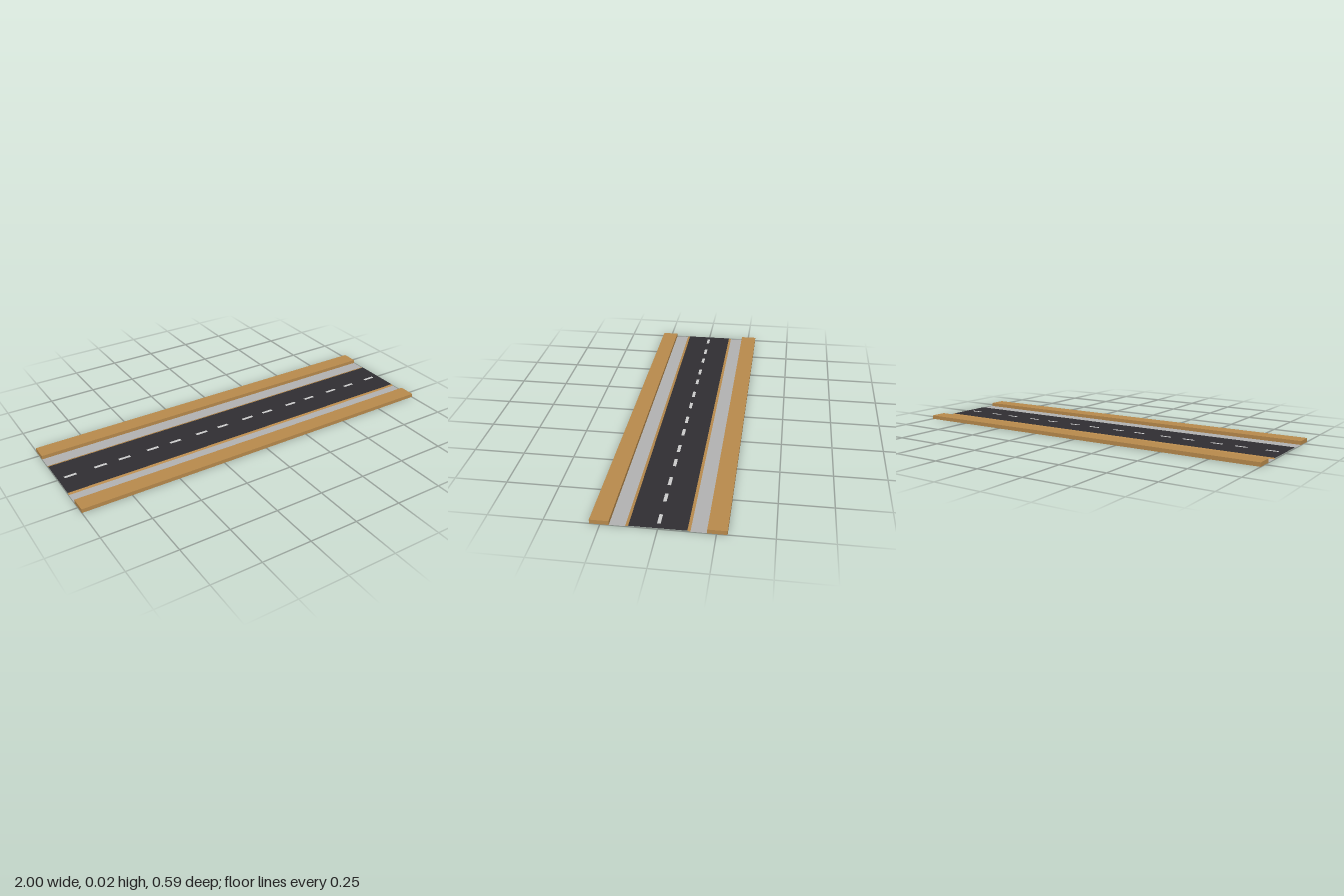
import * as THREE from 'three';

const material = (color) => new THREE.MeshStandardMaterial({ color, flatShading: true, side: THREE.DoubleSide });
const EARTH = material(0xb88a4c);
const CONCRETE = material(0xb2b2b2);
const ASPHALT = material(0x302e32);
const PAINT = material(0xbdbdbd);

const LENGTH = 2, ROAD_Y = 0.005, GUTTER_Y = 0.001;
const ROAD_EDGE = 0.127, GUTTER_IN = 0.14, GUTTER_OUT = 0.211, OUTER = 0.297;

// Flat rectangle on the road level, optionally with rectangular holes [x0, x1, halfDepth]
function slab(x0, x1, half, holes = []) {
  const rect = (T, a, b, h) => new T([
    new THREE.Vector2(a, -h), new THREE.Vector2(b, -h),
    new THREE.Vector2(b, h), new THREE.Vector2(a, h),
  ]);
  const shape = rect(THREE.Shape, x0, x1, half);
  shape.holes = holes.map(([a, b, h]) => rect(THREE.Path, a, b, h));
  return new THREE.ShapeGeometry(shape).rotateX(-Math.PI / 2).translate(0, ROAD_Y, 0);
}

// Full-length strip between two (z, y) lines
function strip(zA, yA, zB, yB) {
  const g = new THREE.PlaneGeometry(LENGTH, 1).rotateX(-Math.PI / 2);
  const p = g.attributes.position;
  for (let i = 0; i < p.count; i++) {
    const inner = p.getZ(i) < 0;
    p.setY(i, inner ? yA : yB);
    p.setZ(i, inner ? zA : zB);
  }
  g.computeVertexNormals();
  return g;
}

export function createModel() {
  const model = new THREE.Group();
  model.name = 'roadSection';
  const add = (name, geometry, mat, parent = model) => {
    const mesh = new THREE.Mesh(geometry, mat);
    mesh.name = name;
    parent.add(mesh);
    return mesh;
  };

  // Two lane dashes in each of seven equal road tiles
  const dashes = [];
  const tile = LENGTH / 7;
  for (let i = 0; i < 7; i++) {
    for (const [a, b] of [[0.033, 0.095], [0.188, 0.253]]) {
      dashes.push([-1 + i * tile + a, -1 + i * tile + b, 0.008]);
    }
  }

  // Carriageway, with the markings set flush into it
  add('roadSurface', slab(-1, 1, ROAD_EDGE, dashes), ASPHALT);
  const markings = new THREE.Group();
  markings.name = 'laneMarkings';
  dashes.forEach(([a, b, h]) => add('laneDash', slab(a, b, h), PAINT, markings));
  model.add(markings);

  // Edge slope, gutter and raised bank, repeated on both sides
  for (const [name, turn] of [['front', 0], ['back', Math.PI]]) {
    const side = new THREE.Group();
    side.name = name + 'Roadside';
    side.rotation.y = turn;
    add('edgeSlope', strip(ROAD_EDGE, ROAD_Y, GUTTER_IN, GUTTER_Y), EARTH, side);
    add('gutter', strip(GUTTER_IN, GUTTER_Y, GUTTER_OUT, GUTTER_Y), CONCRETE, side);
    const bank = add('bank', new THREE.BoxGeometry(LENGTH, 0.02, OUTER - GUTTER_OUT), EARTH, side);
    bank.position.set(0, 0.01, (OUTER + GUTTER_OUT) / 2);
    model.add(side);
  }
  return model;
}
